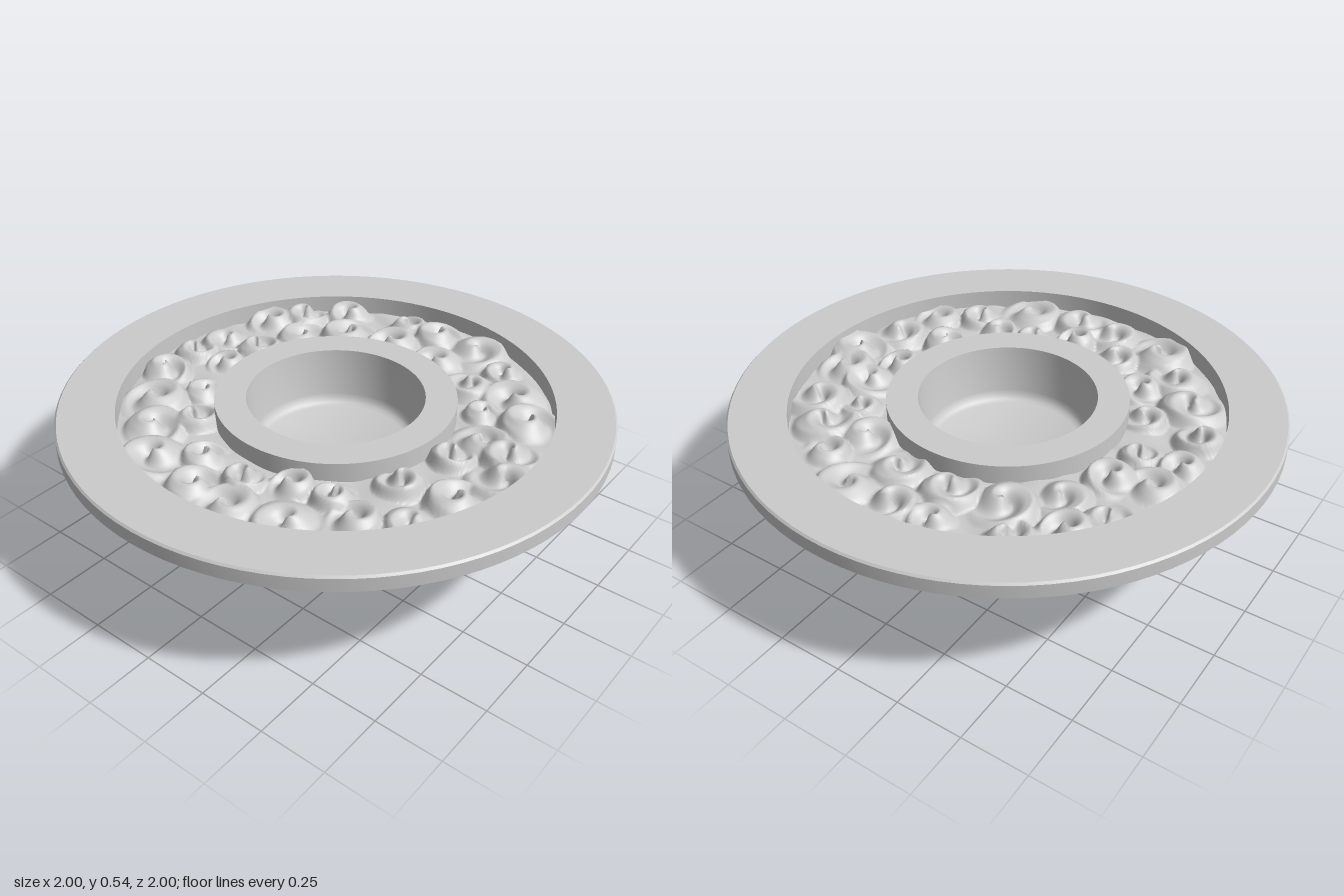
import * as THREE from 'three';
import { toCreasedNormals } from 'three/addons/utils/BufferGeometryUtils.js';

const INNER = 0.44, OUTER = 0.79, FLOOR = 0.46;
const material = new THREE.MeshStandardMaterial({ color: 0xcccccc });

function addMesh(group, name, geometry) {
  const mesh = new THREE.Mesh(geometry, material);
  mesh.name = name;
  group.add(mesh);
}

// Turned part from [radius, height] pairs, with crisp edges
function turned(profile) {
  const points = profile.map(([r, y]) => new THREE.Vector2(r, y));
  return toCreasedNormals(new THREE.LatheGeometry(points, 96), 0.5);
}

function seeded(seed) {
  return () => {
    seed = (seed * 16807) % 2147483647;
    return seed / 2147483647;
  };
}

// Two staggered rows of curls with varied size, turn and direction
function makeCurls() {
  const random = seeded(77);
  const curls = [];
  for (const [count, radius, size] of [[17, 0.53, 0.105], [23, 0.695, 0.115]]) {
    for (let i = 0; i < count; i++) {
      const a = ((i + 0.45 * random()) / count) * Math.PI * 2;
      const r = radius + (random() - 0.5) * 0.07;
      curls.push({
        x: Math.cos(a) * r, z: Math.sin(a) * r,
        size: size * (0.85 + 0.5 * random()),
        turn: random() * Math.PI * 2,
        hand: random() < 0.5 ? -1 : 1,
        lift: 0.75 + 0.25 * random(),
      });
    }
  }
  return curls;
}

// Height of the carving above its floor: the tallest curl wins
function carvedHeight(curls, x, z) {
  let best = 0.012 + 0.006 * Math.sin(x * 23 + 3 * Math.sin(z * 14)) * Math.cos(z * 19);
  for (const c of curls) {
    const dx = x - c.x, dz = z - c.z, d = Math.hypot(dx, dz) / c.size;
    if (d >= 1) continue;
    const phase = c.hand * Math.atan2(dz, dx) + c.turn - 8 * Math.sqrt(d + 0.02);
    const ridge = Math.pow(0.5 + 0.5 * Math.cos(phase), 0.8);
    const grooves = 0.04 * Math.cos(phase * 4) * ridge * d;
    const edge = Math.min(1, (1 - d) * 3.5);
    best = Math.max(best, 0.076 * c.lift * edge * (0.25 + 0.75 * ridge + grooves) * (1 - 0.25 * d));
  }
  return best;
}

// Ring-shaped relief surface between collar and rim
function carvedRing() {
  const around = 480, across = 48;
  const curls = makeCurls();
  const geometry = new THREE.RingGeometry(INNER, OUTER, around, across);
  geometry.rotateX(-Math.PI / 2);
  const p = geometry.attributes.position;
  for (let i = 0; i < p.count; i++) {
    p.setY(i, FLOOR + carvedHeight(curls, p.getX(i), p.getZ(i)));
  }
  geometry.computeVertexNormals();
  return geometry;
}

export function createModel() {
  const model = new THREE.Group();
  model.name = 'carvedDish';

  // Flared body: hollow foot, trumpet-shaped side, flat rim and outer recess wall
  const flare = new THREE.SplineCurve(
    [[0.32, 0], [0.375, 0.135], [0.47, 0.255], [0.61, 0.36], [0.79, 0.438], [1, 0.485]]
      .map(([r, y]) => new THREE.Vector2(r, y))
  ).getPoints(28).map((v) => [v.x, v.y]);
  addMesh(model, 'flaredBody', turned([
    [0, 0.075], [0.265, 0.075], [0.265, 0],
    ...flare,
    [1, 0.535], [0.993, 0.542], [OUTER, 0.542], [OUTER, FLOOR - 0.005],
  ]));

  // Raised collar around the tapered central cup
  addMesh(model, 'collarAndCup', turned([
    [INNER, FLOOR - 0.005], [INNER, 0.542], [0.325, 0.542],
    [0.308, 0.36], [0.303, 0.34], [0.292, 0.327], [0.275, 0.32], [0, 0.32],
  ]));

  addMesh(model, 'carvedScrollRing', carvedRing());
  return model;
}
